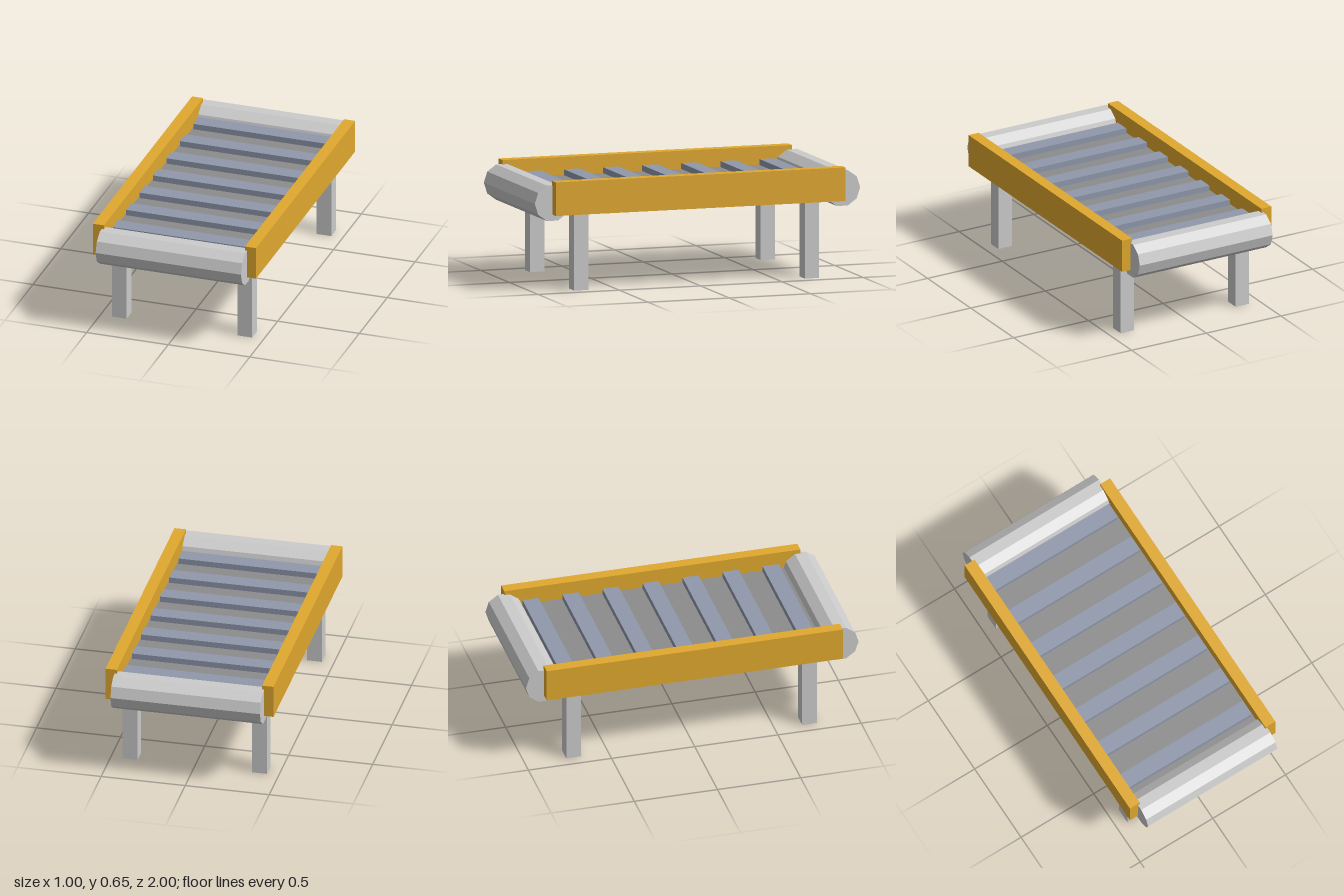
import * as THREE from 'three';

const material = (color) => new THREE.MeshStandardMaterial({ color, flatShading: true });

export function createModel() {
  const group = new THREE.Group();
  const metal = material(0xcccccc);
  const yellow = material(0xe0a82e);
  const rubber = material(0x8c8c8c);
  const slatMetal = material(0x8f98ab);

  const add = (name, geometry, mat, x, y, z) => {
    const mesh = new THREE.Mesh(geometry, mat);
    mesh.name = name;
    mesh.position.set(x, y, z);
    group.add(mesh);
  };

  // Flat belt running between the end rollers
  add('belt', new THREE.BoxGeometry(0.88, 0.045, 1.74), rubber, 0, 0.523, 0);

  // Raised slats across the belt
  const slat = new THREE.BoxGeometry(0.846, 0.06, 0.097);
  for (let i = 0; i < 7; i++) {
    add('slat', slat, slatMetal, 0, 0.55, -0.735 + i * 0.2405);
  }

  // Ten-sided end rollers, corners pointing forwards and backwards
  const roller = new THREE.CylinderGeometry(0.109, 0.109, 0.89, 10).rotateZ(Math.PI / 2);
  add('frontRoller', roller, metal, 0, 0.522, 0.891);
  add('backRoller', roller, metal, 0, 0.522, -0.891);

  // Side rails and legs
  const rail = new THREE.BoxGeometry(0.068, 0.197, 1.78);
  const leg = new THREE.BoxGeometry(0.09, 0.51, 0.088);
  for (const [side, s] of [['left', 1], ['right', -1]]) {
    add(side + 'Rail', rail, yellow, s * 0.466, 0.5525, 0);
    add(side + 'FrontLeg', leg, metal, s * 0.385, 0.255, 0.709);
    add(side + 'BackLeg', leg, metal, s * 0.385, 0.255, -0.709);
  }

  return group;
}
